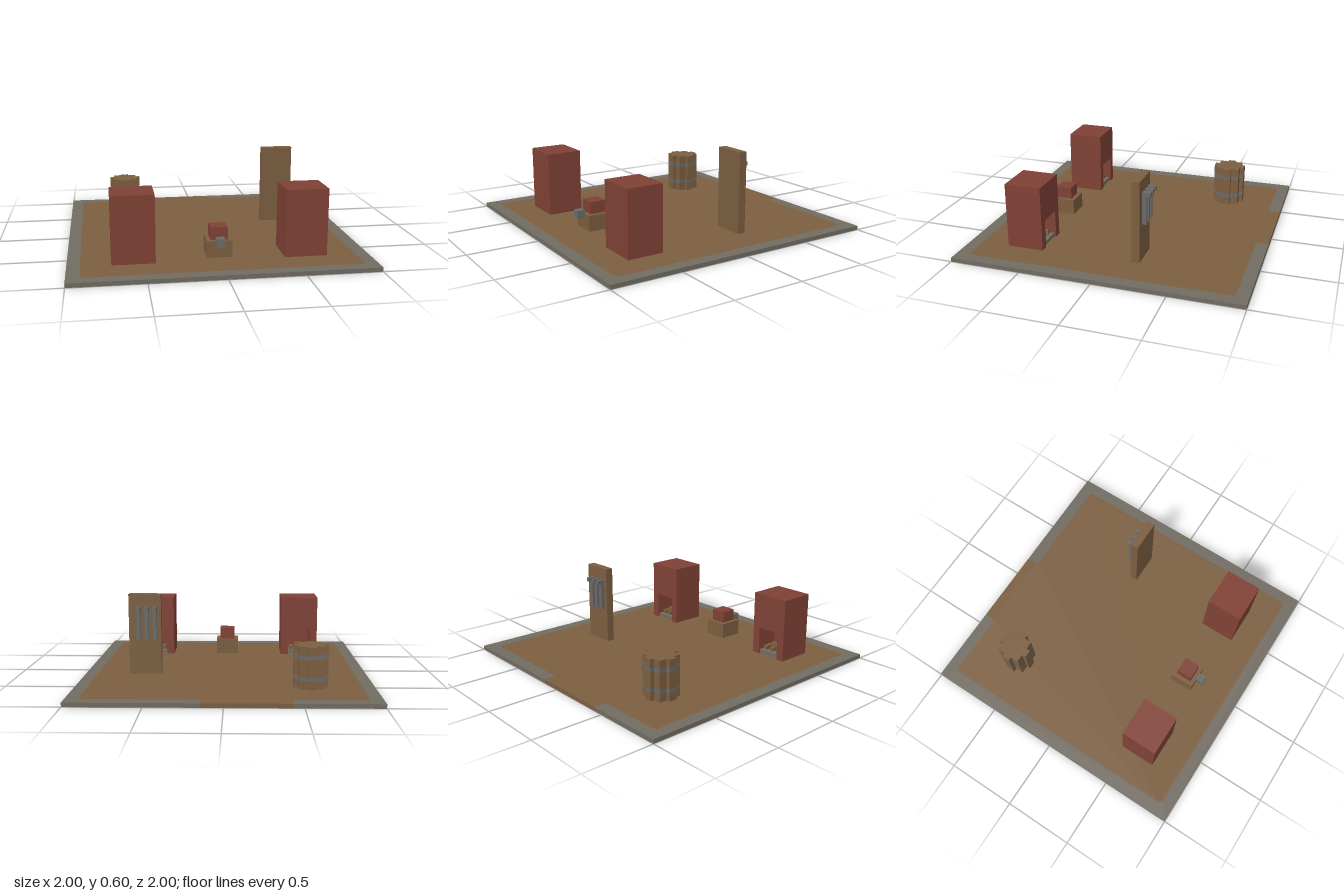
import * as THREE from 'three';

const V = 1 / 35; // one block of the model's grid

const mat = (name, color) => {
  const m = new THREE.MeshStandardMaterial({ color });
  m.name = name;
  return m;
};

export function createModel() {
  const wood = mat('wood', 0x7b5e40);
  const brick = mat('brick', 0x804135);
  const stone = mat('stone', 0x716c62);
  const iron = mat('iron', 0x6a6a68);
  const model = new THREE.Group();
  model.name = 'smithyYard';

  const group = (name, parent = model) => {
    const g = new THREE.Group();
    g.name = name;
    parent.add(g);
    return g;
  };
  // Box given by its minimum and maximum corners in grid blocks
  const box = (name, material, parent, [x0, y0, z0], [x1, y1, z1]) => {
    const geo = new THREE.BoxGeometry((x1 - x0) * V, (y1 - y0) * V, (z1 - z0) * V);
    const mesh = new THREE.Mesh(geo, material);
    mesh.position.set((x0 + x1) / 2 * V, (y0 + y1) / 2 * V, (z0 + z1) / 2 * V);
    mesh.name = name;
    parent.add(mesh);
    return mesh;
  };
  // Plan outline raised into a slab; points are [x, z, corner radius] in blocks
  const slab = (name, material, parent, points, y0, y1) => {
    const shape = new THREE.Shape();
    const n = points.length;
    points.forEach(([x, z, r = 0], i) => {
      const p = new THREE.Vector2(x, -z);
      const toward = ([qx, qz]) =>
        new THREE.Vector2(qx, -qz).sub(p).normalize().multiplyScalar(r).add(p);
      const a = toward(points[(i + n - 1) % n]);
      const b = toward(points[(i + 1) % n]);
      if (i === 0) shape.moveTo(a.x, a.y);
      else shape.lineTo(a.x, a.y);
      if (r) shape.quadraticCurveTo(p.x, p.y, b.x, b.y);
    });
    shape.closePath();
    const geo = new THREE.ExtrudeGeometry(shape, { depth: y1 - y0, bevelEnabled: false, curveSegments: 5 });
    geo.rotateX(-Math.PI / 2);
    geo.scale(V, V, V);
    const mesh = new THREE.Mesh(geo, material);
    mesh.position.y = y0 * V;
    mesh.name = name;
    parent.add(mesh);
    return mesh;
  };

  // Ground: earth floor framed by a stone border with an entrance at the back
  const ground = group('ground');
  const inner = [
    [-15, -35], [-15, -32, 1], [-32, -32, 1], [-32, 32, 1],
    [32, 32, 1], [32, -32, 1], [5, -32, 1], [5, -35],
  ];
  slab('earthFloor', wood, ground, inner, 0, 1);
  slab('stoneBorder', stone, ground,
    [...inner, [35, -35], [35, 35], [-35, 35], [-35, -35]], 0, 1);

  // Two forges, open toward the back
  for (const [side, cx] of [['right', -20], ['left', 20]]) {
    const forge = group(side + 'Forge');
    forge.position.x = cx * V;
    const face = new THREE.Shape([
      [-5, 1], [-3, 1], [-3, 8], [3, 8], [3, 1], [5, 1], [5, 17], [-5, 17],
    ].map(([x, y]) => new THREE.Vector2(x * V, y * V)));
    const mouth = new THREE.Mesh(
      new THREE.ExtrudeGeometry(face, { depth: 6 * V, bevelEnabled: false }), brick);
    mouth.position.z = 16 * V;
    mouth.name = 'forgeMouth';
    forge.add(mouth);
    box('forgeBack', brick, forge, [-5, 1, 22], [5, 17, 25]);
    box('hearth', stone, forge, [-3, 1, 16.5], [3, 2, 22]);
    // Small pile of logs on the hearth
    for (const x of [-2, 0, 2]) {
      box('log', wood, forge, [x - 0.5, 2, 17.5], [x + 0.5, 3, 20.5]);
    }
    box('topLog', wood, forge, [-1, 3, 18.5], [1, 4, 19.5]);
  }

  // Work block with a brick top and an iron fitting in front
  const block = group('workBlock');
  box('stump', wood, block, [-3, 1, 17], [3, 5, 23]);
  box('brickTop', brick, block, [-2, 5, 18], [2, 8, 22]);
  box('ironFitting', iron, block, [-1, 4, 23], [1, 6, 25]);

  // Barrel with a stepped round plan and two flush hoops
  const barrel = group('barrel');
  barrel.position.set(-20 * V, 0, -20 * V);
  const quarter = [[4, -1], [4, 1], [3, 1], [3, 3], [1, 3]];
  const plan = [];
  for (let k = 0; k < 4; k++) {
    for (const [x, z] of quarter.slice(1)) {
      plan.push([[x, z], [-z, x], [-x, -z], [z, -x]][k]);
    }
    // the next quarter begins at the following arm of the plan
    const [x, z] = quarter[4];
    plan.push([[x, z + 1], [-z - 1, x], [-x, -z - 1], [z + 1, -x]][k]);
  }
  for (const [y0, y1, name, material] of [
    [1, 3, 'staves', wood], [3, 4, 'hoop', iron], [4, 8, 'staves', wood],
    [8, 9, 'hoop', iron], [9, 11, 'staves', wood],
  ]) slab(name, material, barrel, plan, y0, y1);

  // Tool rack with three hooked tools on its back
  const rack = group('toolRack');
  box('rackBoard', wood, rack, [16, 1, -8], [24, 21, -6]);
  for (const x of [17, 19, 21]) {
    box('toolShaft', iron, rack, [x, 10, -9], [x + 1, 18, -8]);
    box('toolHook', iron, rack, [x, 17, -10], [x + 1, 18, -9]);
  }
  return model;
}
